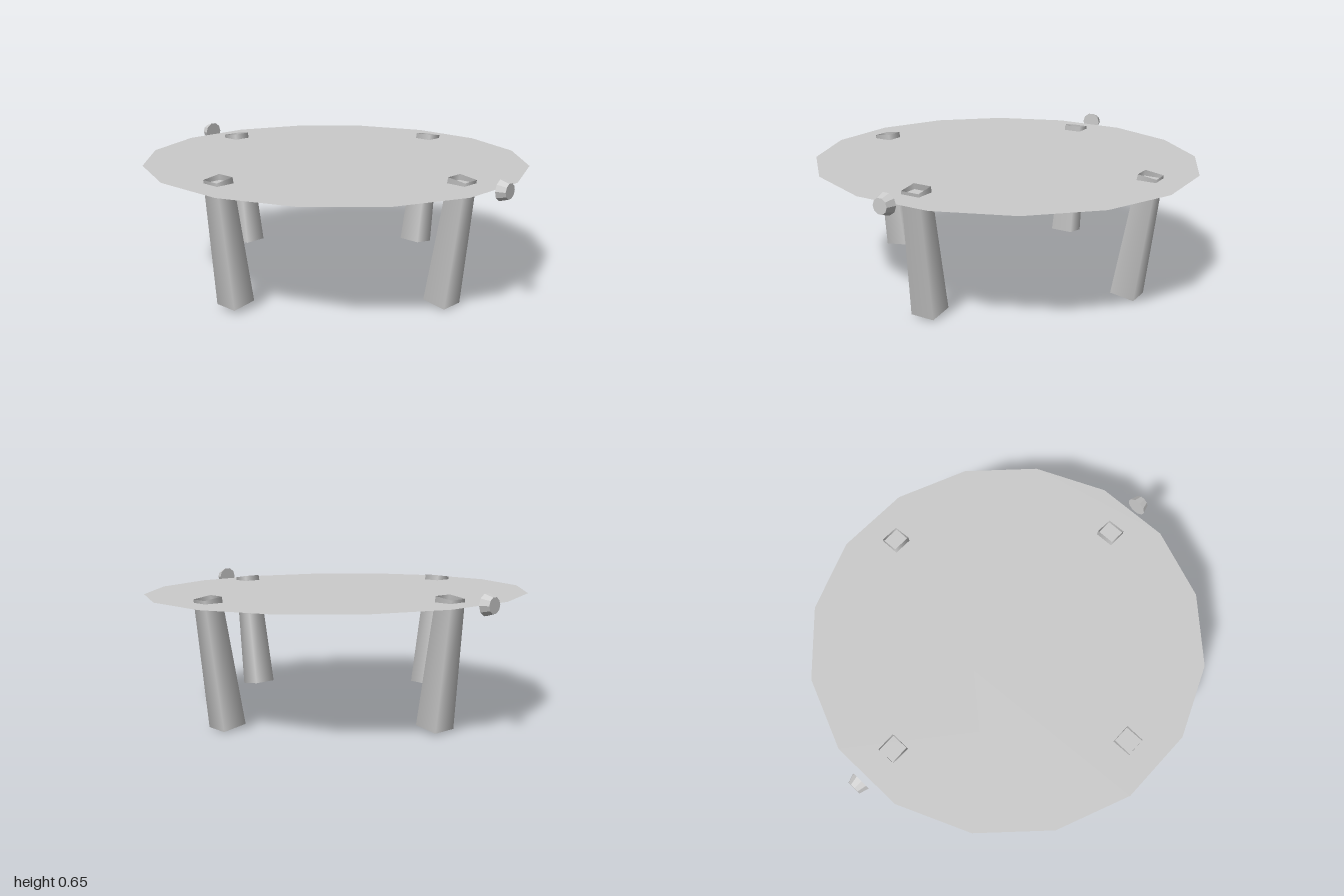
import * as THREE from 'three';

const RADIUS = 0.943, SIDES = 16, STEP = (2 * Math.PI) / SIDES;
const material = new THREE.MeshStandardMaterial({ color: 0xcccccc, side: THREE.DoubleSide });
const flatMaterial = new THREE.MeshStandardMaterial({ color: 0xcccccc, side: THREE.DoubleSide, flatShading: true });

// Point on the 16-sided rim at a polar angle (0 = +x, turning towards +z)
function rimPoint(a) {
  const offset = a - Math.round(a / STEP) * STEP;
  const r = (RADIUS * Math.cos(STEP / 2)) / Math.cos(offset);
  return [r * Math.cos(a), r * Math.sin(a)];
}

// One cracked plate of the top: a stretch of rim closed by inner crack points
function plate(fromDeg, toDeg, inner) {
  const from = THREE.MathUtils.degToRad(fromDeg), to = THREE.MathUtils.degToRad(toDeg);
  const points = [rimPoint(from)];
  for (let k = Math.ceil(from / STEP - 0.5); (k + 0.5) * STEP < to; k++) {
    points.push(rimPoint((k + 0.5) * STEP));
  }
  points.push(rimPoint(to), ...inner);
  const shape = new THREE.Shape(points.map(([x, z]) => new THREE.Vector2(x, -z)));
  return new THREE.ShapeGeometry(shape).rotateX(-Math.PI / 2);
}

export function createModel() {
  const table = new THREE.Group();
  table.name = 'table';

  // Thin round top, split by cracks that meet at five inner points
  const A = [-0.37, -0.2], B = [-0.23, 0], C = [-0.43, 0.23], D = [0.08, 0], E = [0.37, 0.37];
  const top = new THREE.Group();
  top.name = 'tableTop';
  top.position.y = 0.598;
  [
    [-44.8, 45, [E, D]],
    [45, 101, [E]],
    [101, 138.5, [C, B, D, E]],
    [138.5, 179.4, [C]],
    [179.4, 209.3, [A, B, C]],
    [209.3, 253.9, [A]],
    [253.9, 315.2, [D, B, A]],
  ].forEach(([from, to, inner]) => {
    const piece = new THREE.Mesh(plate(from, to, inner), material);
    piece.name = 'topPlate';
    top.add(piece);
  });
  table.add(top);

  // Four hollow square legs, wider at the foot, leaning out and poking through the top
  const legGeometry = new THREE.CylinderGeometry(0.064, 0.085, 0.605, 4, 1, true, Math.PI / 4)
    .rotateZ(-0.14)
    .translate(0.715, 0.32, 0);
  for (let i = 0; i < 4; i++) {
    const leg = new THREE.Mesh(legGeometry, material);
    leg.name = 'leg';
    leg.rotation.y = (i * Math.PI) / 2;
    table.add(leg);
  }

  // Faceted knobs just outside the rim at each side
  for (const side of [1, -1]) {
    const knob = new THREE.Mesh(new THREE.CylinderGeometry(0.036, 0.05, 0.043, 10), flatMaterial);
    knob.name = side > 0 ? 'leftKnob' : 'rightKnob';
    knob.rotation.z = (-side * Math.PI) / 2;
    knob.position.set(side * 0.9785, 0.605, 0);
    table.add(knob);
  }

  // The table leans back very slightly
  table.rotation.x = -0.013;
  const model = new THREE.Group();
  model.add(table);
  return model;
}
